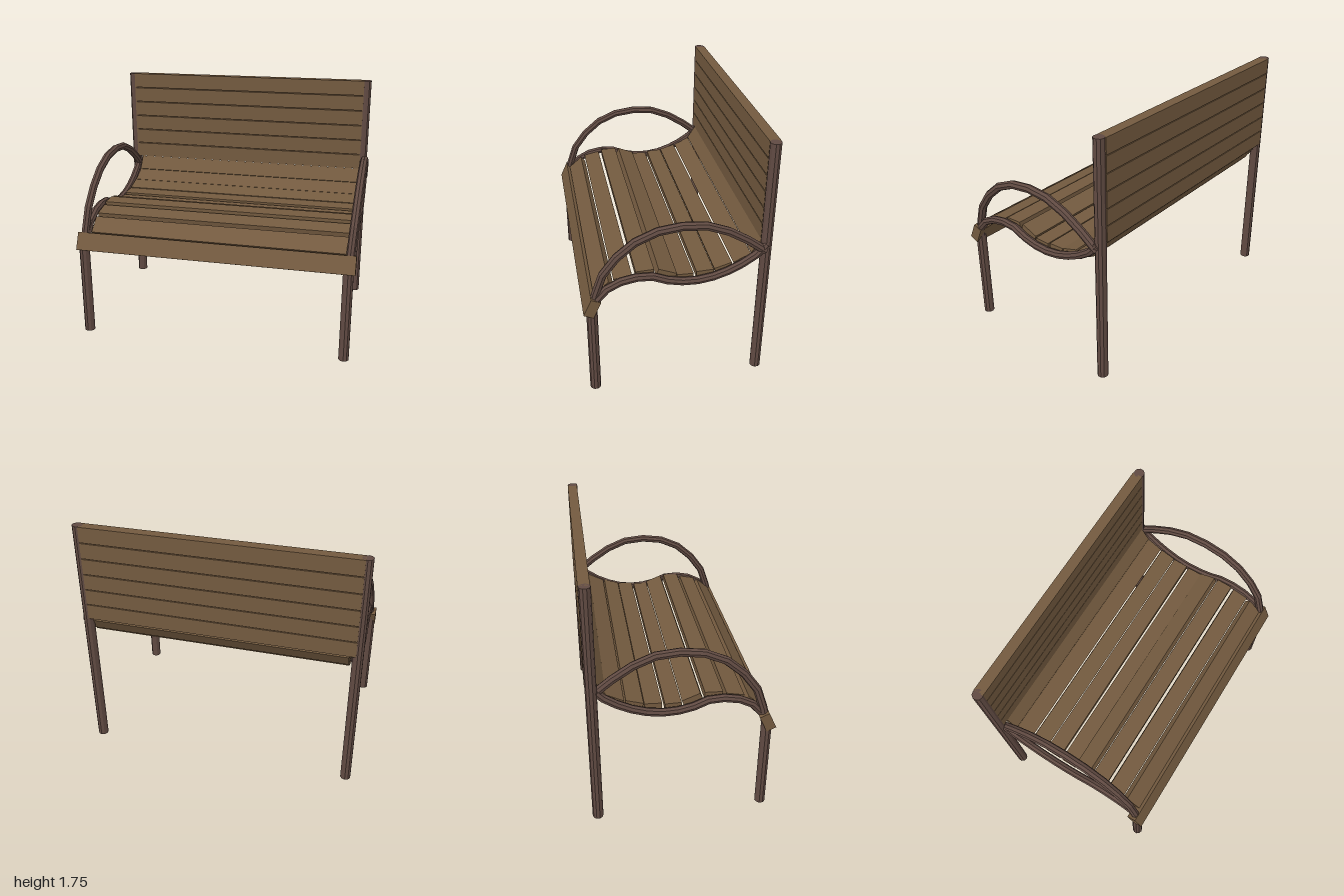
import * as THREE from 'three';

export function createModel() {
  const bench = new THREE.Group();
  bench.name = 'gardenBench';
  const wood = new THREE.MeshStandardMaterial({ color: 0x735a3f, flatShading: true });
  const metal = new THREE.MeshStandardMaterial({ color: 0x604a42, flatShading: true });

  const add = (name, geometry, material) => {
    const mesh = new THREE.Mesh(geometry, material);
    mesh.name = name;
    bench.add(mesh);
    return mesh;
  };

  // Plank across x, whose cross-section runs from (z1, y1) to (z2, y2)
  const plank = (name, [z1, y1, z2, y2], thickness, x1, x2) => {
    const width = Math.hypot(z2 - z1, y2 - y1);
    const mesh = add(name, new THREE.BoxGeometry(x2 - x1, thickness, width), wood);
    mesh.position.set((x1 + x2) / 2, (y1 + y2) / 2, (z1 + z2) / 2);
    mesh.rotation.x = Math.atan2(y1 - y2, z2 - z1);
  };

  // Upright round post
  const post = (name, x, z, y1, y2) => {
    const mesh = add(name, new THREE.CylinderGeometry(0.037, 0.037, y2 - y1, 10), metal);
    mesh.position.set(x, (y1 + y2) / 2, z);
  };

  // Bent bar with closed ends through [x, y, z] points
  const bar = (name, points, radius) => {
    const pts = points.map((p) => new THREE.Vector3(...p));
    const curve = new THREE.CatmullRomCurve3(pts);
    add(name, new THREE.TubeGeometry(curve, pts.length + 2, radius, 8), metal);
    for (const [end, next] of [[pts[0], pts[1]], [pts.at(-1), pts.at(-2)]]) {
      const cap = add(name + 'Cap', new THREE.CircleGeometry(radius, 8), metal);
      cap.position.copy(end);
      cap.lookAt(end.clone().multiplyScalar(2).sub(next));
    }
  };

  // Side profiles as [z, y]
  const armProfile = [[0.562, 0.64], [0.5, 0.91], [0.38, 1.08], [0.21, 1.205],
    [0, 1.25], [-0.2, 1.23], [-0.39, 1.135], [-0.57, 1.0]];
  const railProfile = [[0.53, 0.75], [0.44, 0.845], [0.32, 0.885], [0.19, 0.893], [0.05, 0.84],
    [-0.1, 0.82], [-0.25, 0.84], [-0.39, 0.895], [-0.51, 0.97], [-0.58, 1.045]];

  // Legs, arms and seat rails on both sides
  for (const side of [-1, 1]) {
    const label = side > 0 ? 'left' : 'right';
    const legX = side > 0 ? 0.927 : -0.96;
    post(label + 'FrontLeg', legX, 0.562, 0, 0.68);
    post(label + 'BackPost', legX, -0.582, 0.01, 1.755);
    // The arms drift a little sideways towards their crown
    const arm = armProfile.map(([z, y]) => [legX + 0.055 * (y - 0.64), y, z]);
    bar(label + 'Arm', arm, 0.029);
    bar(label + 'SeatRail', railProfile.map(([z, y]) => [side * 0.945, y, z]), 0.028);
  }

  // Seat slats following the wave of the rails
  const seatSlats = [
    [0.53, 0.755, 0.43, 0.84], [0.41, 0.85, 0.29, 0.875], [0.27, 0.89, 0.15, 0.895],
    [0.13, 0.893, 0.01, 0.845], [0, 0.832, -0.11, 0.83], [-0.13, 0.84, -0.245, 0.845],
    [-0.255, 0.85, -0.37, 0.885], [-0.385, 0.885, -0.5, 0.943], [-0.51, 0.955, -0.572, 1.05],
  ];
  for (const slat of seatSlats) plank('seatSlat', slat, 0.05, -0.905, 0.915);

  // Backrest slats between the posts
  for (let i = 0; i < 6; i++) {
    const top = 1.755 - i * 0.116;
    plank('backSlat', [-0.585, top - 0.11, -0.585, top], 0.072, -0.95, 0.91);
  }

  // Tilted board along the front edge
  plank('frontBoard', [0.588, 0.643, 0.535, 0.76], 0.07, -0.998, 0.975);

  return bench;
}
